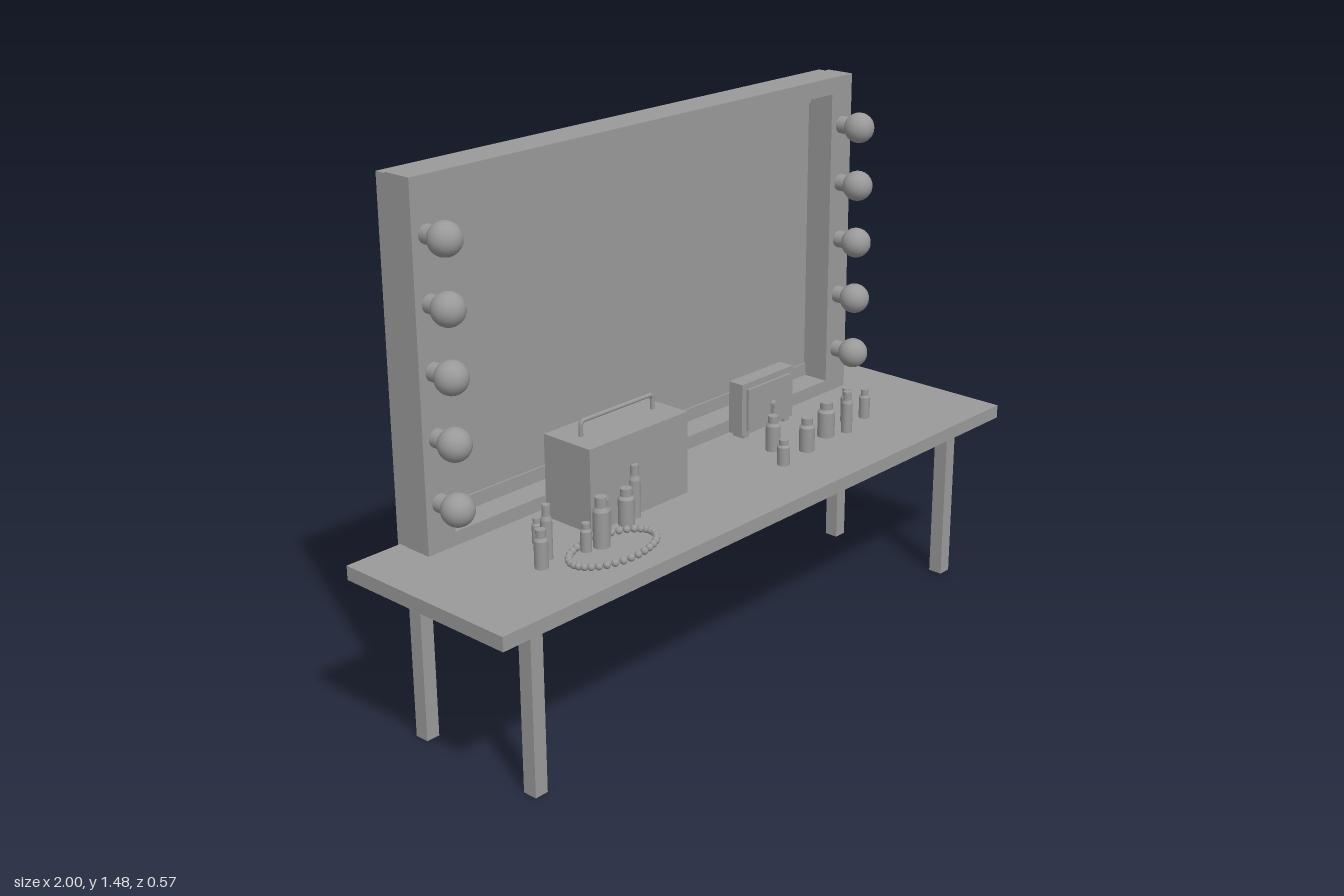
import * as THREE from 'three';

const grey = new THREE.MeshStandardMaterial({ color: 0x999999 });
grey.name = 'grey';

const TOP = 0.512; // table surface height

export function createModel() {
  const model = new THREE.Group();
  model.name = 'dressingTable';

  const add = (name, geometry, x = 0, y = 0, z = 0, parent = model) => {
    const mesh = new THREE.Mesh(geometry, grey);
    mesh.name = name;
    mesh.position.set(x, y, z);
    parent.add(mesh);
    return mesh;
  };
  // box given by its limits on each axis
  const box = (name, x0, x1, y0, y1, z0, z1, parent = model) =>
    add(name, new THREE.BoxGeometry(x1 - x0, y1 - y0, z1 - z0),
      (x0 + x1) / 2, (y0 + y1) / 2, (z0 + z1) / 2, parent);

  // table
  box('tableTop', -1, 1, 0.473, TOP, -0.276, 0.288);
  box('backApron', -0.825, 0.825, 0.355, 0.473, -0.17, -0.127);
  for (const x of [-0.844, 0.844]) {
    box('frontLeg', x - 0.02, x + 0.02, 0, 0.473, 0.19, 0.232);
    box('backLeg', x - 0.02, x + 0.02, 0, 0.473, -0.213, -0.171);
  }

  // mirror frame with a rectangular opening
  const rect = (target, x, y0, y1) => {
    target.moveTo(-x, y0);
    target.lineTo(x, y0);
    target.lineTo(x, y1);
    target.lineTo(-x, y1);
    target.closePath();
    return target;
  };
  const frame = rect(new THREE.Shape(), 0.832, TOP, 1.475);
  frame.holes.push(rect(new THREE.Path(), 0.742, 0.55, 1.427));
  add('mirrorFrame', new THREE.ExtrudeGeometry(frame, { depth: 0.085, bevelEnabled: false }), 0, 0, -0.249);
  box('mirrorPanel', -0.83, 0.83, 0.504, 1.471, -0.285, -0.249);
  box('lowerMirrorTrim', -0.742, 0.742, 0.55, 0.588, -0.249, -0.243);
  box('upperMirrorTrim', -0.742, 0.742, 1.39, 1.427, -0.249, -0.243);

  // light bulbs on both sides of the mirror
  const bulb = new THREE.SphereGeometry(0.044, 24, 16);
  const socket = new THREE.CylinderGeometry(0.025, 0.025, 0.06, 20).rotateX(Math.PI / 2);
  for (const x of [-0.787, 0.787]) {
    for (let i = 0; i < 5; i++) {
      const y = 0.644 + i * 0.172;
      add('bulb', bulb, x, y, -0.098);
      add('bulbSocket', socket, x, y, -0.136);
    }
  }

  // vanity case with carrying handle
  const vanityCase = new THREE.Group();
  vanityCase.name = 'vanityCase';
  model.add(vanityCase);
  box('caseBody', -0.467, -0.104, TOP, 0.743, -0.125, 0.04, vanityCase);
  const handle = new THREE.CurvePath();
  const v = (x, y) => new THREE.Vector3(x, y, -0.043);
  handle.add(new THREE.LineCurve3(v(-0.415, 0.74), v(-0.415, 0.772)));
  handle.add(new THREE.QuadraticBezierCurve3(v(-0.415, 0.772), v(-0.415, 0.784), v(-0.403, 0.784)));
  handle.add(new THREE.LineCurve3(v(-0.403, 0.784), v(-0.162, 0.784)));
  handle.add(new THREE.QuadraticBezierCurve3(v(-0.162, 0.784), v(-0.15, 0.784), v(-0.15, 0.772)));
  handle.add(new THREE.LineCurve3(v(-0.15, 0.772), v(-0.15, 0.74)));
  add('caseHandle', new THREE.TubeGeometry(handle, 80, 0.006, 8), 0, 0, 0, vanityCase);

  // small jewellery box with raised rim and arched clasp
  const jewelBox = new THREE.Group();
  jewelBox.name = 'jewelBox';
  model.add(jewelBox);
  box('boxBody', 0.278, 0.503, 0.523, 0.678, -0.147, -0.098, jewelBox);
  box('boxDoor', 0.297, 0.484, 0.535, 0.66, -0.098, -0.09, jewelBox);
  for (const x of [0.3, 0.48]) box('boxFoot', x - 0.012, x + 0.012, TOP, 0.523, -0.14, -0.1, jewelBox);
  const arch = new THREE.Shape();
  arch.moveTo(-0.01, 0.523);
  arch.lineTo(0.01, 0.523);
  arch.lineTo(0.01, 0.59);
  arch.absarc(0, 0.59, 0.01, 0, Math.PI);
  arch.closePath();
  add('boxClasp', new THREE.ExtrudeGeometry(arch, { depth: 0.014, bevelEnabled: false }), 0.404, 0, -0.09, jewelBox);

  // bottles: x, z, radius, top height
  const bottles = [
    [-0.687, 0.088, 0.018, 0.615], [-0.641, 0.06, 0.015, 0.658],
    [-0.594, -0.027, 0.012, 0.58], [-0.545, 0.1, 0.015, 0.588],
    [-0.5, 0.11, 0.022, 0.648], [-0.455, 0.07, 0.022, 0.615],
    [-0.361, 0.062, 0.022, 0.613], [-0.312, 0.045, 0.016, 0.658],
    [0.219, 0.105, 0.018, 0.585], [0.281, 0.015, 0.021, 0.615],
    [0.342, 0.088, 0.022, 0.61], [0.466, 0.058, 0.025, 0.615],
    [0.53, 0.083, 0.016, 0.635], [0.594, 0.03, 0.016, 0.615],
    [0.656, 0.05, 0.016, 0.6],
  ];
  for (const [x, z, r, top] of bottles) {
    const bottle = new THREE.Group();
    bottle.name = 'bottle';
    bottle.position.set(x, TOP, z);
    model.add(bottle);
    const h = top - TOP;
    const body = h * 0.72;
    add('bottleBody', new THREE.CylinderGeometry(r, r, body, 18), 0, body / 2, 0, bottle);
    add('bottleShoulder', new THREE.CylinderGeometry(r * 0.72, r, h * 0.08, 18), 0, h * 0.76, 0, bottle);
    add('bottleCap', new THREE.CylinderGeometry(r * 0.72, r * 0.72, h * 0.2, 18), 0, h * 0.9, 0, bottle);
  }

  // bead necklace laid out as an oval
  const bead = new THREE.SphereGeometry(0.01, 12, 8);
  for (let i = 0; i < 34; i++) {
    const a = (i / 34) * Math.PI * 2;
    add('bead', bead, -0.502 + 0.137 * Math.cos(a), TOP + 0.01, 0.152 + 0.075 * Math.sin(a));
  }

  return model;
}
